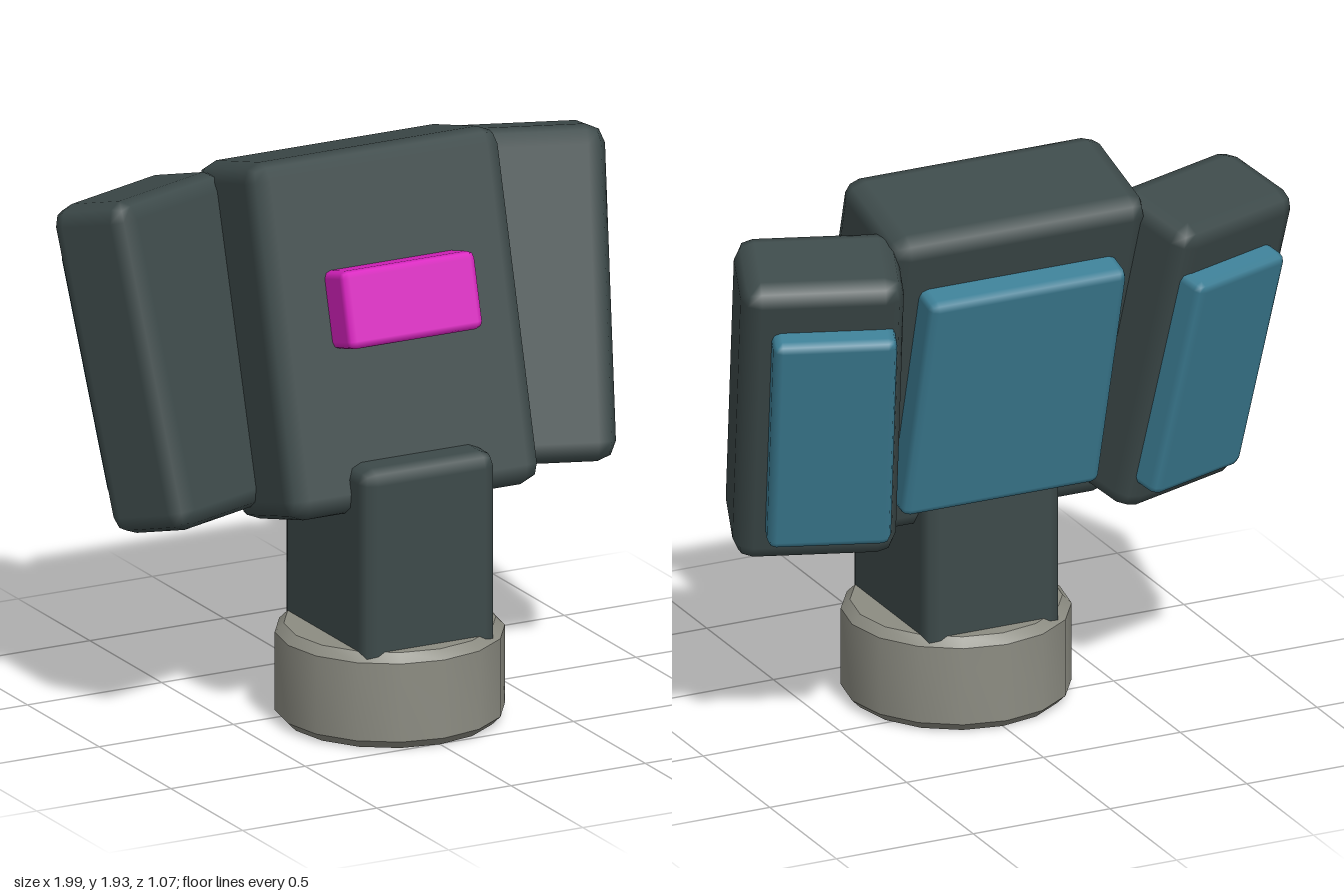
import * as THREE from 'three';
import { toCreasedNormals } from 'three/addons/utils/BufferGeometryUtils.js';

const material = (name, color) => {
  const m = new THREE.MeshStandardMaterial({ color });
  m.name = name;
  return m;
};

// Box with flat faces and soft two-step bevels of radius r on every edge
function bevelBox(w, h, d, r) {
  const geo = new THREE.BoxGeometry(1, 1, 1, 3, 3, 3);
  const pos = geo.attributes.position, nor = geo.attributes.normal;
  const half = [w / 2 - r, h / 2 - r, d / 2 - r];
  const dir = new THREE.Vector3();
  for (let i = 0; i < pos.count; i++) {
    const c = [pos.getX(i), pos.getY(i), pos.getZ(i)];
    // outer grid lines lean out at 45 degrees, inner ones stay on the face
    dir.set(...c.map(v => (Math.abs(v) > 0.4 ? Math.sign(v) : 0))).normalize();
    const p = c.map((v, k) => Math.sign(v) * half[k] + dir.getComponent(k) * r);
    pos.setXYZ(i, ...p);
    nor.setXYZ(i, dir.x, dir.y, dir.z);
  }
  return geo;
}

function add(parent, name, geo, mat, x, y, z) {
  const mesh = new THREE.Mesh(geo, mat);
  mesh.name = name;
  mesh.position.set(x, y, z);
  parent.add(mesh);
  return mesh;
}

export function createModel() {
  const dark = material('dark casing', 0x3d4a4a);
  const blue = material('blue panel', 0x3d7f96);
  const pink = material('magenta block', 0xd922c0);
  const grey = material('warm grey base', 0x8c8c82);

  const model = new THREE.Group();
  model.name = 'threePanelHead';
  const tilt = -THREE.MathUtils.degToRad(15);
  const yaw = THREE.MathUtils.degToRad(20);

  // Round base
  const profile = [[0, 0], [0.35, 0], [0.38, 0.03], [0.38, 0.3], [0.35, 0.33], [0, 0.33]]
    .map(([x, y]) => new THREE.Vector2(x, y));
  add(model, 'base', toCreasedNormals(new THREE.LatheGeometry(profile, 16), 0.5), grey, 0, 0, 0.155);

  // Neck
  add(model, 'neck', bevelBox(0.5, 0.7, 0.59, 0.05), dark, 0, 0.605, 0.155);

  // Centre head, leaning back
  const head = new THREE.Group();
  head.name = 'centreHead';
  head.position.set(0, 1.315, 0.005);
  head.rotation.x = tilt;
  model.add(head);
  add(head, 'headCasing', bevelBox(0.94, 1.19, 0.44, 0.065), dark, 0, 0, 0);
  add(head, 'headPanel', bevelBox(0.72, 0.86, 0.2, 0.03), blue, 0, -0.025, -0.22);
  add(head, 'frontBlock', bevelBox(0.5, 0.26, 0.2, 0.025), pink, 0, 0.08, 0.25);

  // Side wings, turned outward and leaning back
  for (const side of [1, -1]) {
    const wing = new THREE.Group();
    wing.name = side > 0 ? 'leftWing' : 'rightWing';
    wing.position.set(side * 0.661, 1.27, -0.142);
    wing.rotation.set(tilt, -side * yaw, 0, 'YXZ');
    model.add(wing);
    add(wing, 'wingCasing', bevelBox(0.54, 1.112, 0.348, 0.065), dark, 0, 0, 0);
    add(wing, 'wingPanel', bevelBox(0.41, 0.835, 0.16, 0.03), blue, -side * 0.035, -0.025, -0.174);
  }
  return model;
}
